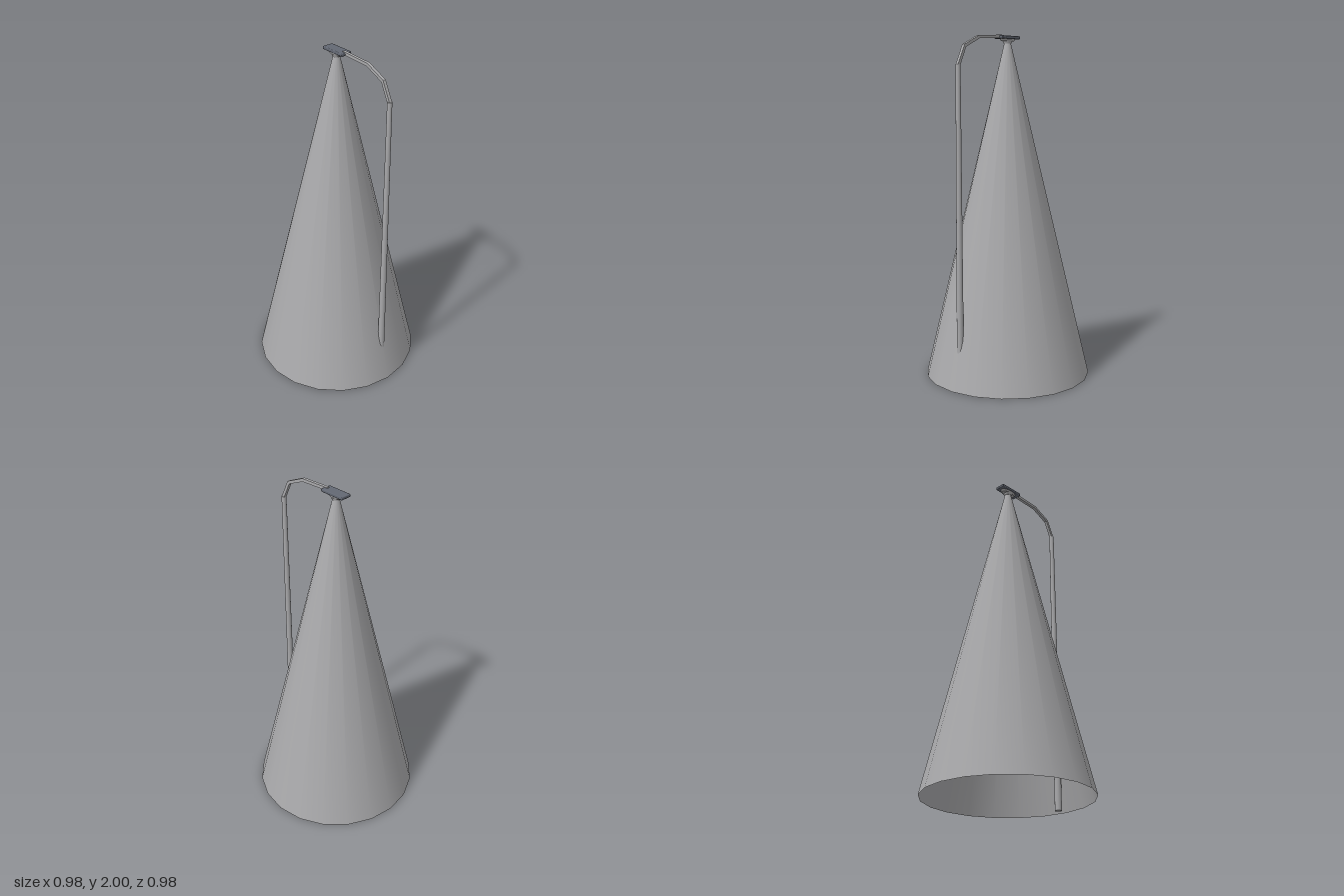
import * as THREE from 'three';
import { RoundedBoxGeometry } from 'three/addons/geometries/RoundedBoxGeometry.js';

export function createModel() {
  const group = new THREE.Group();
  const mat = (name, color, side = THREE.FrontSide) => {
    const m = new THREE.MeshStandardMaterial({ color, side });
    m.name = name;
    return m;
  };
  const steel = mat('steel grey', 0xa9a9ab, THREE.DoubleSide);
  const slate = mat('slate grey', 0x636873);

  const add = (name, geometry, material, x = 0, y = 0, z = 0) => {
    const mesh = new THREE.Mesh(geometry, material);
    mesh.name = name;
    mesh.position.set(x, y, z);
    group.add(mesh);
    return mesh;
  };

  // Hollow cone, open at the base
  add('coneBody', new THREE.CylinderGeometry(0.018, 0.488, 1.96, 20, 1, true), steel, 0, 0.98);

  // Cap: neck, oval collar and bevelled plate
  add('capNeck', new THREE.CylinderGeometry(0.027, 0.022, 0.014, 20), steel, 0, 1.96);
  add('capCollar', new THREE.CylinderGeometry(0.06, 0.05, 0.014, 20).scale(1, 1, 0.48), steel, 0, 1.973);
  add('capPlate', new RoundedBoxGeometry(0.157, 0.018, 0.066, 1, 0.005), slate, 0.003, 1.987);

  // Tapered pole that runs down through the cone wall to the ground
  const poleX = 0.417;
  add('pole', new THREE.CylinderGeometry(0.014, 0.021, 1.83, 12), steel, poleX, 0.915);

  // Bent arm: square section swept along a few points with mitred joints
  const path = [[0.058, 1.991], [0.25, 1.982], [0.366, 1.93], [poleX, 1.825]]
    .map(([x, y]) => new THREE.Vector2(x, y));
  const half = 0.009;
  const normals = path.map((p, i) => {
    const a = path[Math.max(i - 1, 0)];
    const b = path[Math.min(i + 1, path.length - 1)];
    const t = b.clone().sub(a).normalize();
    return new THREE.Vector2(-t.y, t.x).multiplyScalar(half);
  });
  const outline = new THREE.Shape([
    ...path.map((p, i) => p.clone().sub(normals[i])),
    ...path.map((p, i) => p.clone().add(normals[i])).reverse(),
  ]);
  const arm = new THREE.ExtrudeGeometry(outline, { depth: 2 * half, bevelEnabled: false });
  add('bentArm', arm, steel, 0, 0, -half);

  return group;
}
